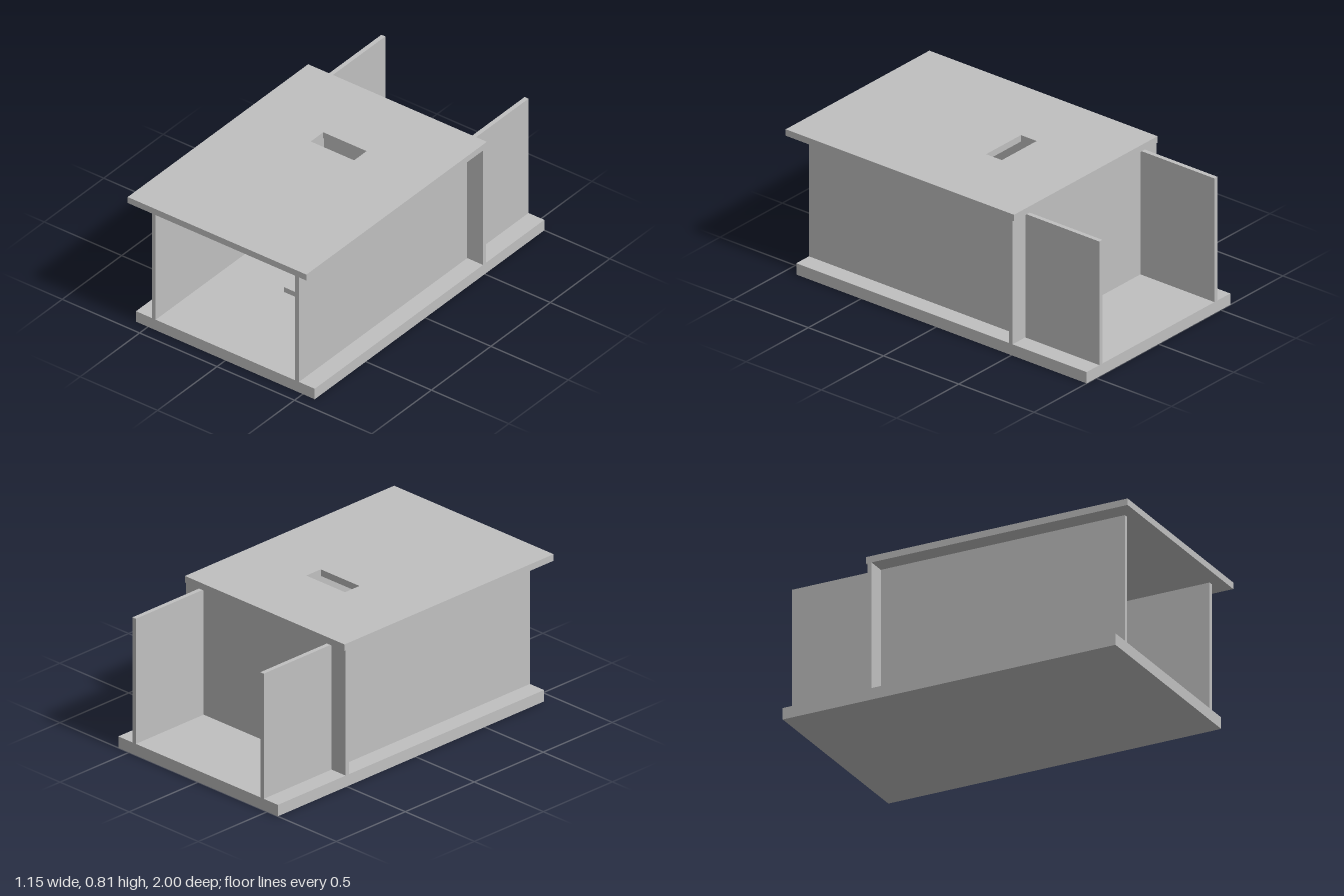
import * as THREE from 'three';

export function createModel() {
  const group = new THREE.Group();
  const grey = new THREE.MeshStandardMaterial({ color: 0xc0c0c0 });
  grey.name = 'plain grey';

  // Box given by its extents on each axis
  function panel(name, [x0, x1], [y0, y1], [z0, z1]) {
    const mesh = new THREE.Mesh(new THREE.BoxGeometry(x1 - x0, y1 - y0, z1 - z0), grey);
    mesh.position.set((x0 + x1) / 2, (y0 + y1) / 2, (z0 + z1) / 2);
    mesh.name = name;
    group.add(mesh);
  }

  const half = 0.577, floor = 0.065, wallTop = 0.775;

  panel('base', [-half, half], [0, floor], [-1, 0.93]);
  panel('leftWall', [0.45, 0.475], [floor, wallTop], [-1, 0.93]);
  panel('rightWall', [-0.475, -0.45], [floor, wallTop], [-1, 0.93]);

  // Cross wall: middle part and the two outer wings
  const crossZ = [-0.508, -0.485];
  panel('crossWall', [-0.45, 0.45], [floor, wallTop], crossZ);
  panel('leftWing', [0.475, half], [floor, wallTop], crossZ);
  panel('rightWing', [-half, -0.475], [floor, wallTop], crossZ);

  // Inner fittings on the floor
  panel('uprightPlate', [-0.11, 0.11], [floor, 0.435], [-0.078, -0.055]);
  panel('floorPlate', [-0.125, 0.125], [floor, 0.073], [0.04, 0.09]);
  panel('floorBar', [-0.083, 0.083], [floor, 0.095], [0.28, 0.33]);

  // Lid with a slot; shape y becomes -z
  const rect = (target, x, z0, z1) => {
    target.moveTo(-x, -z1);
    target.lineTo(x, -z1);
    target.lineTo(x, -z0);
    target.lineTo(-x, -z0);
    target.closePath();
    return target;
  };
  const outline = rect(new THREE.Shape(), half, -0.517, 1);
  outline.holes.push(rect(new THREE.Path(), 0.14, -0.075, 0.03));
  const lidGeometry = new THREE.ExtrudeGeometry(outline, { depth: 0.037, bevelEnabled: false });
  lidGeometry.rotateX(-Math.PI / 2);
  const lid = new THREE.Mesh(lidGeometry, grey);
  lid.position.y = wallTop;
  lid.name = 'lid';
  group.add(lid);

  return group;
}
